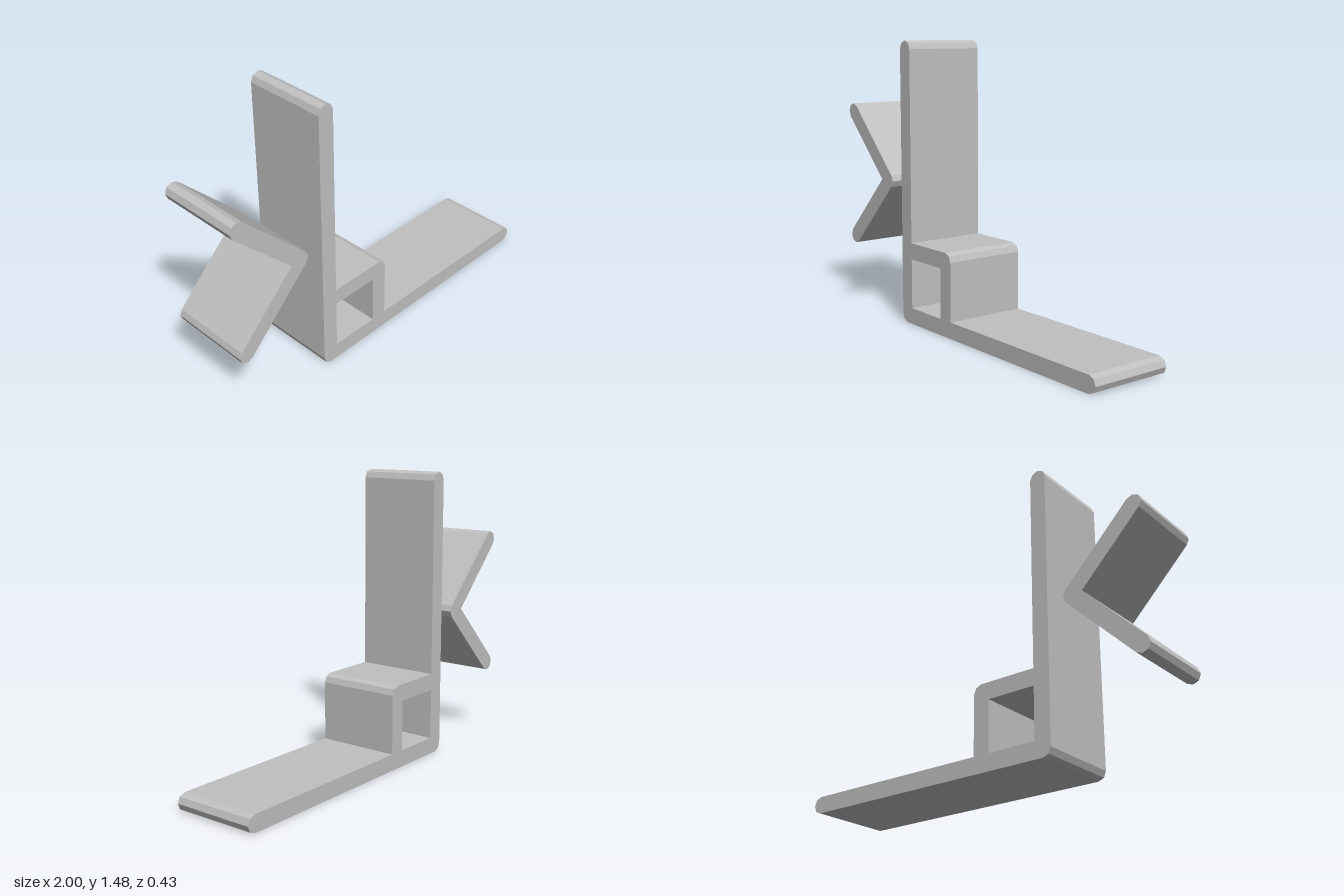
import * as THREE from 'three';

const R = 0.043, T = 2 * R, DEPTH = 0.434;

// Faceted arc about (cx, cy), in 45 degree steps
function arc(cx, cy, from, to) {
  const n = Math.round(Math.abs(to - from) / 45);
  return Array.from({ length: n + 1 }, (_, i) => {
    const a = THREE.MathUtils.degToRad(from + (to - from) * i / n);
    return new THREE.Vector2(cx + R * Math.cos(a), cy + R * Math.sin(a));
  });
}

const pt = (x, y) => new THREE.Vector2(x, y);

// Extrudes an outline along z, centred on z = 0
function profile(name, points, hole, material) {
  const shape = new THREE.Shape(points);
  if (hole) shape.holes.push(new THREE.Path(hole));
  const geometry = new THREE.ExtrudeGeometry(shape, { depth: DEPTH, bevelEnabled: false });
  geometry.translate(0, 0, -DEPTH / 2);
  const mesh = new THREE.Mesh(geometry, material);
  mesh.name = name;
  return mesh;
}

export function createModel() {
  const group = new THREE.Group();
  group.name = 'cornerProfile';
  const grey = new THREE.MeshStandardMaterial({ color: 0xc0c0c0, flatShading: true });
  grey.name = 'plain grey';

  // L-shaped bracket with a square tube in its corner
  const left = -0.479, right = 1, top = 1.478;
  const boxRight = -0.048, boxTop = 0.434;
  const bracket = [
    ...arc(left + R, R, 180, 270),
    ...arc(right - R, R, -90, 90),
    pt(boxRight, T),
    ...arc(boxRight - R, boxTop - R, 0, 90),
    pt(left + T, boxTop),
    ...arc(left + R, top - R, 0, 180),
  ];
  const hole = [
    pt(left + T, T), pt(left + T, boxTop - T),
    pt(boxRight - T, boxTop - T), pt(boxRight - T, T),
  ];
  group.add(profile('cornerBracket', bracket, hole, grey));

  // Separate V-shaped clip with rounded ends, its point towards the bracket
  const tipX = -0.609, midY = 0.739, endX = -1 + R, reach = tipX - endX;
  const clip = [
    ...arc(tipX, midY, -45, 45),
    ...arc(endX, midY + reach, 45, 225),
    pt(tipX - R * Math.SQRT2, midY),
    ...arc(endX, midY - reach, 135, 315),
  ];
  group.add(profile('vClip', clip, null, grey));

  return group;
}
